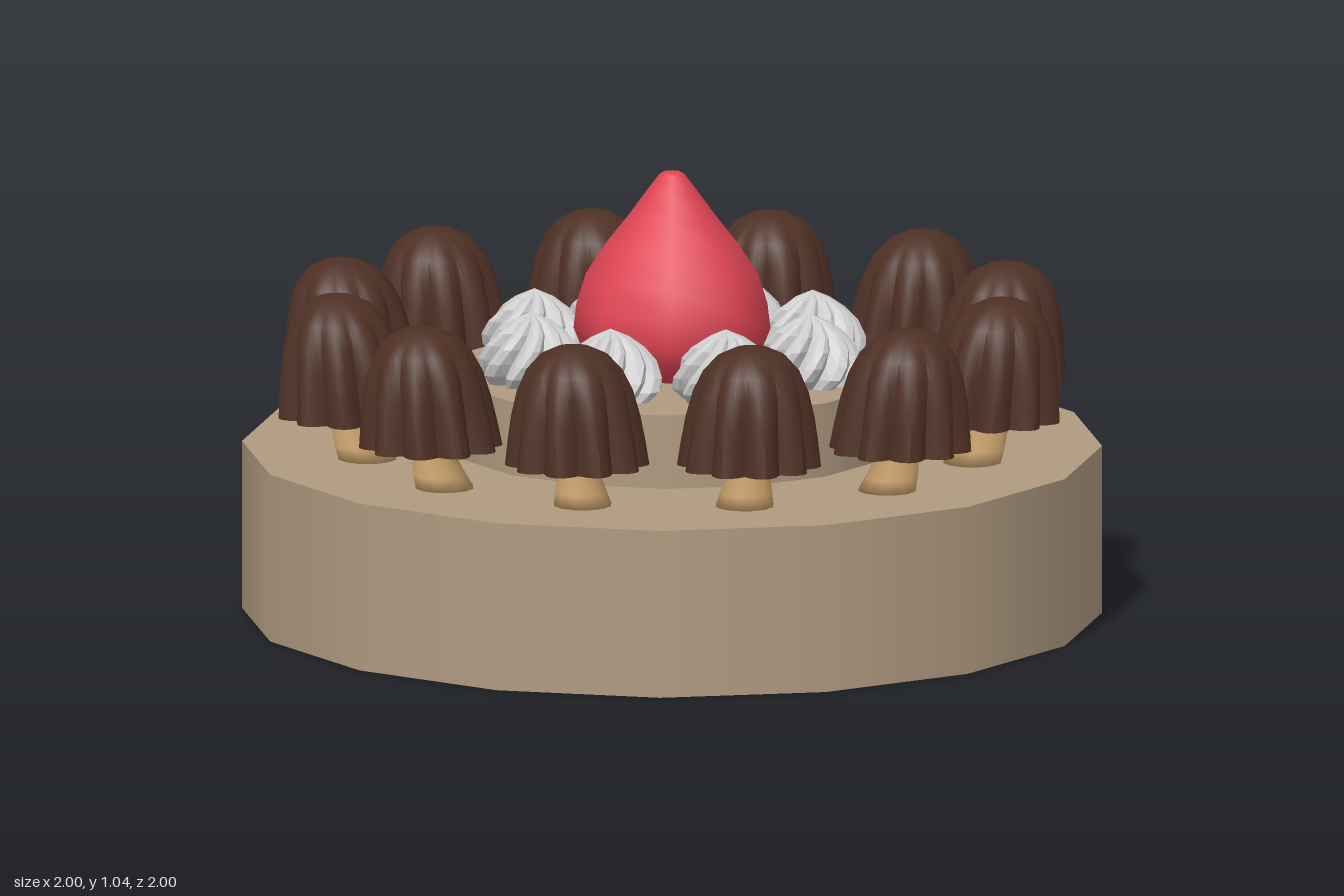
import * as THREE from 'three';
import { mergeVertices, toCreasedNormals } from 'three/addons/utils/BufferGeometryUtils.js';

const paint = (color, flatShading = false) => new THREE.MeshStandardMaterial({ color, flatShading });
const cakeMat = paint(0xb09a80);
const capMat = paint(0x4e3024);
const stemMat = paint(0xc8a06a);
const berryMat = paint(0xe24655);
const creamMat = paint(0xcccccc, true);

function part(name, geometry, material) {
  const mesh = new THREE.Mesh(geometry, material);
  mesh.name = name;
  return mesh;
}

// Turned body from [radius, height] pairs, listed bottom to top
function turned(profile, sides) {
  return new THREE.LatheGeometry(profile.map(([r, y]) => new THREE.Vector2(r, y)), sides);
}

// Turned body whose radius is pinched between rounded lobes; depth and twist depend on height
function lobed(profile, lobes, perLobe, depth, twist) {
  const geo = turned(profile, lobes * perLobe);
  const p = geo.attributes.position;
  for (let i = 0; i < p.count; i++) {
    const x = p.getX(i), y = p.getY(i), z = p.getZ(i);
    const a = Math.atan2(x, z);
    const pinch = 1 - Math.abs(Math.cos(a * lobes / 2));
    const r = Math.hypot(x, z) * (1 - depth(y) * pinch);
    const b = a + twist(y);
    p.setXYZ(i, r * Math.sin(b), y, r * Math.cos(b));
  }
  geo.deleteAttribute('uv');
  geo.deleteAttribute('normal');
  return toCreasedNormals(mergeVertices(geo), 0.6);
}

// Push points outward (+z) by an amount depending on height
function lean(geo, offset) {
  const p = geo.attributes.position;
  for (let i = 0; i < p.count; i++) p.setZ(i, p.getZ(i) + offset(p.getY(i)));
  return geo;
}

function tier(name, radius, bottom, top) {
  const geo = new THREE.CylinderGeometry(radius, radius, top - bottom, 16);
  geo.translate(0, (top + bottom) / 2, 0);
  return part(name, geo, cakeMat);
}

// Copies placed in a ring, each facing outward
function ring(name, count, start, make) {
  const group = new THREE.Group();
  group.name = name;
  for (let i = 0; i < count; i++) {
    const item = make();
    item.rotation.y = start + (i / count) * Math.PI * 2;
    group.add(item);
  }
  return group;
}

export function createModel() {
  const model = new THREE.Group();
  model.name = 'cake';

  // Two cake layers
  model.add(tier('lowerTier', 1, 0, 0.396), tier('upperTier', 0.52, 0.396, 0.57));

  // Mushrooms with fluted caps and curved, flared stems
  const capGeo = lobed([
    [0, 0.54], [0.1, 0.535], [0.155, 0.52], [0.168, 0.5], [0.16, 0.56], [0.15, 0.62],
    [0.135, 0.68], [0.112, 0.73], [0.08, 0.765], [0.04, 0.784], [0, 0.788],
  ], 10, 6, (y) => 0.2 * THREE.MathUtils.clamp((0.79 - y) / 0.2, 0, 1), () => 0);
  lean(capGeo, (y) => 0.772 + 0.03 * (y - 0.5) / 0.29);
  const stemGeo = turned([
    [0, 0.39], [0.07, 0.39], [0.062, 0.43], [0.053, 0.47], [0.048, 0.51], [0.047, 0.55], [0, 0.55],
  ], 12);
  lean(stemGeo, (y) => 0.725 + 0.05 * Math.sin(Math.min(1, (y - 0.39) / 0.16) * Math.PI / 2));
  model.add(ring('mushrooms', 12, 0, () => {
    const mushroom = new THREE.Group();
    mushroom.name = 'mushroom';
    mushroom.add(part('mushroomCap', capGeo, capMat), part('mushroomStem', stemGeo, stemMat));
    return mushroom;
  }));

  // Swirled cream dollops
  const creamGeo = lobed([
    [0, 0.565], [0.1, 0.565], [0.125, 0.595], [0.124, 0.625], [0.108, 0.66],
    [0.08, 0.69], [0.045, 0.715], [0, 0.735],
  ], 9, 4, () => 0.28, (y) => (y - 0.57) * 6);
  creamGeo.translate(0, 0, 0.35);
  model.add(ring('creamDollops', 8, Math.PI / 8, () => part('creamDollop', creamGeo, creamMat)));

  // Strawberry, tip up
  model.add(part('strawberry', turned([
    [0, 0.565], [0.15, 0.565], [0.205, 0.61], [0.229, 0.67], [0.222, 0.73], [0.2, 0.8],
    [0.155, 0.87], [0.1, 0.94], [0.06, 0.995], [0.03, 1.035], [0.022, 1.04], [0, 1.04],
  ], 8), berryMat));

  return model;
}
